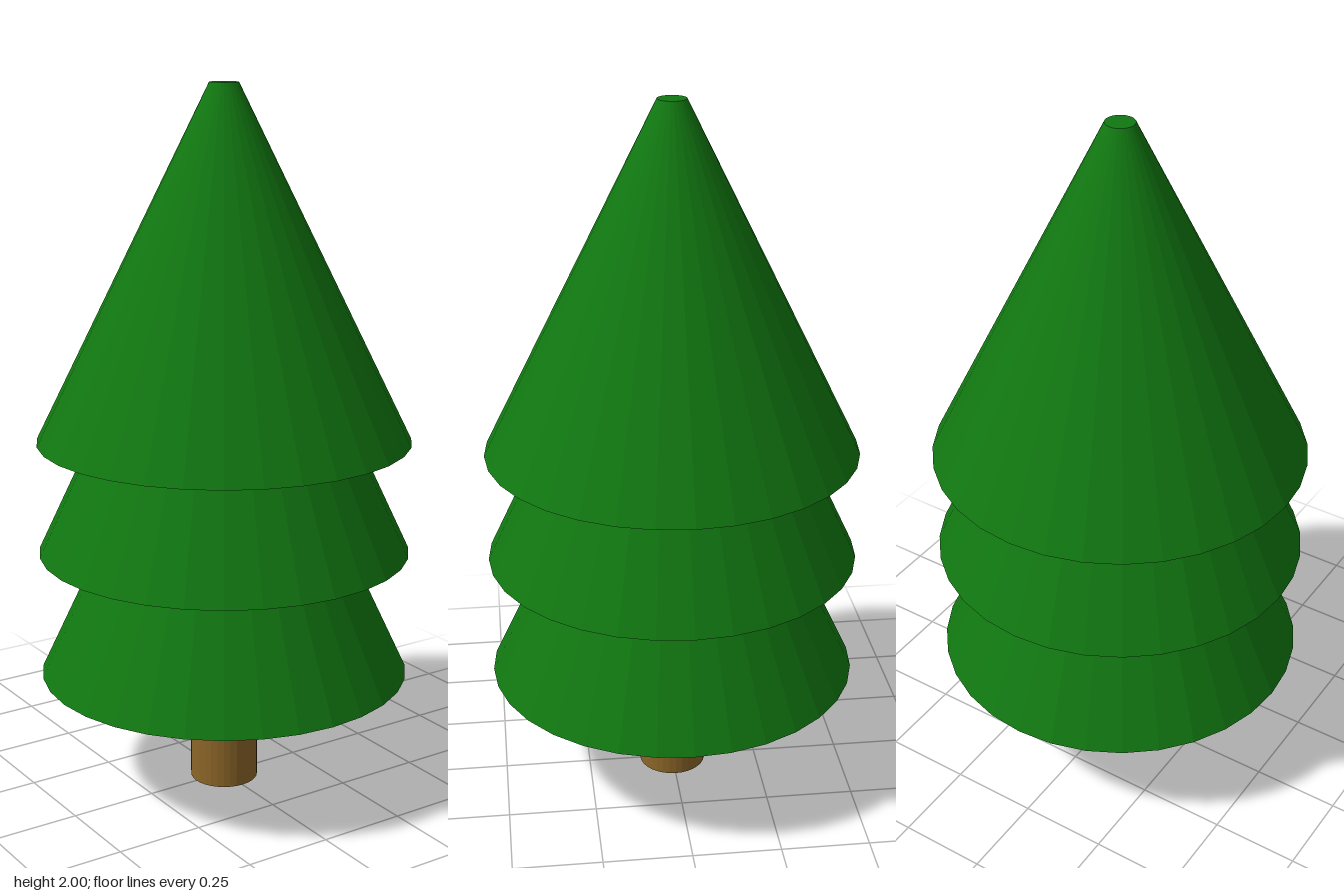
import * as THREE from 'three';

const SIDES = 32;

export function createModel() {
  const tree = new THREE.Group();
  tree.name = 'pineTree';
  const green = new THREE.MeshStandardMaterial({ color: 0x117711, flatShading: true });
  const brown = new THREE.MeshStandardMaterial({ color: 0x8b6528, flatShading: true });

  // Closed, tapered round section standing on height y
  const addSection = (name, topRadius, bottomRadius, y, height, material) => {
    const geometry = new THREE.CylinderGeometry(topRadius, bottomRadius, height, SIDES);
    geometry.translate(0, y + height / 2, 0);
    const mesh = new THREE.Mesh(geometry, material);
    mesh.name = name;
    tree.add(mesh);
  };

  // Trunk, running a little way into the lowest tier
  addSection('trunk', 0.097, 0.097, 0, 0.4, brown);

  // Three overlapping tiers of foliage
  addSection('lowerFoliage', 0.04, 0.525, 0.34, 1.03, green);
  addSection('middleFoliage', 0.04, 0.525, 0.7, 1.03, green);
  addSection('upperFoliage', 0.04, 0.525, 1.02, 0.98, green);

  return tree;
}
